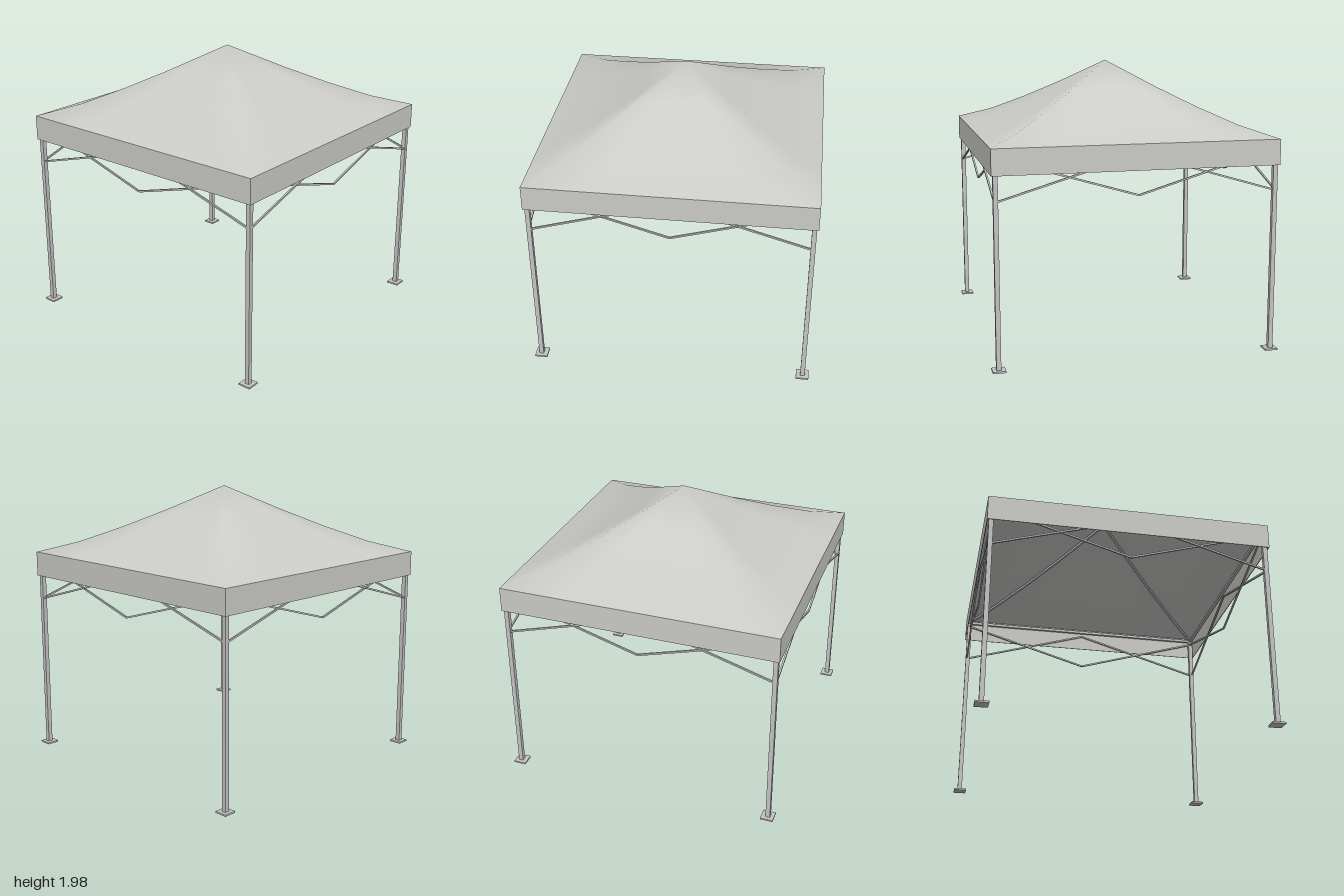
import * as THREE from 'three';
import { mergeVertices } from 'three/addons/utils/BufferGeometryUtils.js';

const EAVE = 0.985; // half width of the canopy
const LEG = 0.957;  // leg centre line
// roof profile: distance from centre, height
const PROFILE = [[EAVE, 1.487], [0.755, 1.567], [0.525, 1.679], [0.3, 1.802], [0, 1.98]];

function material(name, color, side = THREE.FrontSide) {
  const m = new THREE.MeshStandardMaterial({ color, side });
  m.name = name;
  return m;
}

// concave pyramid: a lathe whose round rings are pushed out to squares
function roofGeometry() {
  const points = PROFILE.map(([r, y]) => new THREE.Vector2(r, y));
  const lathe = new THREE.LatheGeometry(points, 24);
  lathe.deleteAttribute('uv');
  lathe.deleteAttribute('normal');
  const p = lathe.attributes.position;
  for (let i = 0; i < p.count; i++) {
    const x = p.getX(i), z = p.getZ(i);
    const far = Math.max(Math.abs(x), Math.abs(z));
    const k = far > 1e-6 ? Math.hypot(x, z) / far : 1;
    p.setX(i, x * k);
    p.setZ(i, z * k);
  }
  const geometry = mergeVertices(lathe, 1e-4);
  geometry.computeVertexNormals();
  return geometry;
}

function box(name, w, h, d, x, y, z, mat) {
  const mesh = new THREE.Mesh(new THREE.BoxGeometry(w, h, d), mat);
  mesh.name = name;
  mesh.position.set(x, y, z);
  return mesh;
}

// square bar between two points
function bar(name, a, b, size, mat) {
  const from = new THREE.Vector3(...a), to = new THREE.Vector3(...b);
  const mesh = new THREE.Mesh(new THREE.BoxGeometry(size, size, from.distanceTo(to)), mat);
  mesh.name = name;
  mesh.position.copy(from).add(to).multiplyScalar(0.5);
  mesh.lookAt(to);
  return mesh;
}

export function createModel() {
  const model = new THREE.Group();
  model.name = 'canopyTent';
  const fabric = material('canopy fabric', 0xcbcbc7, THREE.DoubleSide);
  const metal = material('frame metal', 0xc4c4c4);

  const roof = new THREE.Mesh(roofGeometry(), fabric);
  roof.name = 'roof';
  model.add(roof);

  for (let i = 0; i < 4; i++) {
    // one side: valance, eave rail and two scissor trusses
    const side = new THREE.Group();
    side.name = 'side' + (i + 1);
    side.add(box('valance', 2 * EAVE, 0.177, 0.005, 0, 1.3985, EAVE - 0.0025, fabric));
    side.add(box('eaveRail', 2 * LEG, 0.02, 0.02, 0, 1.455, LEG, metal));
    for (const s of [-1, 1]) {
      side.add(bar('scissorBar', [s * 0.945, 1.14, LEG + 0.006], [0, 1.42, LEG + 0.006], 0.012, metal));
      side.add(bar('scissorBar', [0, 1.14, LEG - 0.006], [s * 0.945, 1.42, LEG - 0.006], 0.012, metal));
    }

    // one corner: leg, foot plate and the rafter under the hip
    side.add(box('leg', 0.032, 1.475, 0.032, LEG, 0.7375, LEG, metal));
    side.add(box('footPlate', 0.09, 0.012, 0.09, 0.955, 0.006, 0.955, metal));
    const path = PROFILE.map(([r, y]) => {
      const d = Math.min(r, LEG);
      return [d, y - 0.025, d];
    });
    for (let k = 1; k < path.length; k++) {
      side.add(bar('rafter', path[k - 1], path[k], 0.016, metal));
    }
    side.rotation.y = i * Math.PI / 2;
    model.add(side);
  }
  return model;
}
